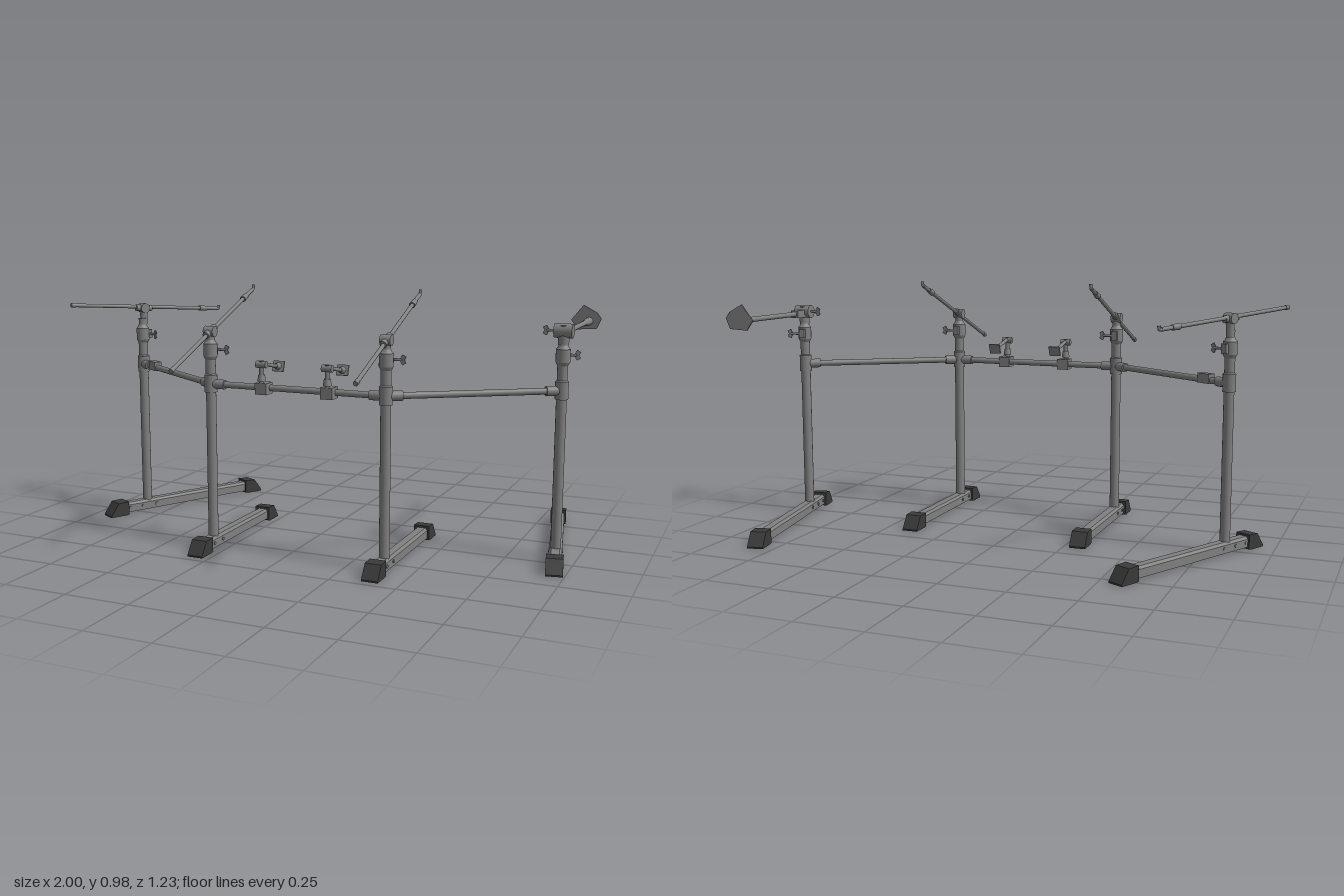
import * as THREE from 'three';

const metal = new THREE.MeshStandardMaterial({ color: 0x808080 });
const rubber = new THREE.MeshStandardMaterial({ color: 0x3a3a3a });
const V = (x, y, z) => new THREE.Vector3(x, y, z);

function add(parent, name, geometry, material = metal) {
  const mesh = new THREE.Mesh(geometry, material);
  mesh.name = name;
  parent.add(mesh);
  return mesh;
}

// Round bar between two points, optionally tapered
function rod(parent, name, a, b, r, r2 = r, sides = 16) {
  const d = b.clone().sub(a);
  const mesh = add(parent, name, new THREE.CylinderGeometry(r2, r, d.length(), sides));
  mesh.position.copy(a).add(b).multiplyScalar(0.5);
  mesh.quaternion.setFromUnitVectors(V(0, 1, 0), d.normalize());
  return mesh;
}

function box(parent, name, w, h, d, p) {
  const mesh = add(parent, name, new THREE.BoxGeometry(w, h, d));
  mesh.position.copy(p);
  return mesh;
}

function extrude(points, depth) {
  const shape = new THREE.Shape(points.map(([x, y]) => new THREE.Vector2(x, y)));
  return new THREE.ExtrudeGeometry(shape, { depth, bevelEnabled: false });
}

// Winged tightening screw pointing along +x or -x
function wingScrew(parent, p, side) {
  rod(parent, 'screw', p, V(p.x + side * 0.035, p.y, p.z), 0.005, 0.005, 8);
  for (const s of [-1, 1]) {
    const wing = box(parent, 'wing', 0.016, 0.016, 0.005, V(p.x + side * 0.04, p.y + s * 0.008, p.z));
    wing.rotation.z = -s * side * 0.5;
  }
}

// Foot, post and collars; the foot runs along local z
function makeLeg({ x, z, turn, front, back }) {
  const leg = new THREE.Group();
  leg.name = 'leg';
  leg.position.set(x, 0, z);
  leg.rotation.y = turn;

  // Foot bar with chamfered top edges
  const bar = extrude([[-0.024, 0.01], [0.024, 0.01], [0.024, 0.041], [0.015, 0.05],
    [-0.015, 0.05], [-0.024, 0.041]], front + back - 0.1);
  add(leg, 'footBar', bar).position.z = 0.05 - back;

  // Sloped rubber ends
  for (const [end, s] of [[front, 1], [-back, -1]]) {
    const g = extrude([[0, 0.003], [0.012, 0], [0.085, 0], [0.085, 0.006], [0.05, 0.056], [0.002, 0.058]], 0.062);
    g.translate(0, 0, -0.031).rotateY(-Math.PI / 2);
    const cap = add(leg, 'rubberEnd', g, rubber);
    cap.position.z = end - s * 0.085;
    if (s < 0) cap.rotation.y = Math.PI;
  }

  // Bolts through the foot
  for (const bz of [-0.03, 0.035, 0.095]) {
    rod(leg, 'footBolt', V(-0.027, 0.028, bz), V(0.027, 0.028, bz), 0.007, 0.007, 8);
  }

  // Post and stepped collars as one turned profile
  const profile = [[0, 0.04], [0.019, 0.04], [0.019, 0.603], [0.024, 0.603], [0.024, 0.668],
    [0.019, 0.672], [0.019, 0.725], [0.022, 0.73], [0.026, 0.738], [0.026, 0.785],
    [0.02, 0.792], [0.016, 0.8], [0.016, 0.826], [0, 0.826]];
  // Doubled corners keep the steps crisp
  const points = profile.flatMap(([r, y]) => [new THREE.Vector2(r, y), new THREE.Vector2(r, y)]);
  add(leg, 'post', new THREE.LatheGeometry(points, 20));
  box(leg, 'collarLug', 0.022, 0.036, 0.024, V(0, 0.76, -0.026));
  wingScrew(leg, V(0.012, 0.76, -0.03), 1);
  return leg;
}

// Slanted rod with tilting joint, clip and hooked end
function makeRodArm(low, high, pivot) {
  const arm = new THREE.Group();
  arm.name = 'rodArm';
  const dir = high.clone().sub(low).normalize();
  const at = (t) => low.clone().lerp(high, t);
  const side = V(dir.z, 0, -dir.x).normalize();
  rod(arm, 'rod', low, high, 0.0075);
  rod(arm, 'rodTip', low, low.clone().addScaledVector(dir, 0.02), 0.009);
  rod(arm, 'rodSleeve', pivot.clone().addScaledVector(dir, -0.035), pivot.clone().addScaledVector(dir, 0.035), 0.013);
  rod(arm, 'tiltJoint', pivot.clone().addScaledVector(side, -0.02), pivot.clone().addScaledVector(side, 0.02), 0.02);
  rod(arm, 'jointStem', V(pivot.x, 0.8, pivot.z), pivot, 0.015);
  const clip = at(0.9);
  rod(arm, 'clip', clip.clone().addScaledVector(dir, -0.02), clip.clone().addScaledVector(dir, 0.015), 0.012, 0.01);
  const hook = new THREE.CatmullRomCurve3([high.clone(), high.clone().addScaledVector(dir, 0.008),
    high.clone().addScaledVector(dir, 0.011).add(V(0, 0.015, 0))]);
  add(arm, 'hook', new THREE.TubeGeometry(hook, 8, 0.006, 8));
  return arm;
}

// Small arm clamped to the middle bar, with a tilted plate behind
function makeSmallArm(x) {
  const g = new THREE.Group();
  g.name = 'smallArm';
  g.position.x = x;
  box(g, 'clampBlock', 0.046, 0.042, 0.052, V(0, 0.633, 0.335));
  rod(g, 'upright', V(0, 0.65, 0.35), V(0, 0.735, 0.35), 0.009);
  rod(g, 'uprightCollar', V(0, 0.66, 0.35), V(0, 0.685, 0.35), 0.016, 0.012);
  rod(g, 'uprightJoint', V(-0.02, 0.722, 0.35), V(0.02, 0.722, 0.35), 0.013);
  rod(g, 'arm', V(0, 0.725, 0.35), V(0, 0.698, 0.215), 0.007);
  rod(g, 'armEnd', V(0, 0.702, 0.235), V(0, 0.698, 0.212), 0.009, 0.014);
  box(g, 'armPlate', 0.046, 0.04, 0.006, V(0, 0.698, 0.21)).rotation.x = -0.35;
  return g;
}

// Straight arm ending in an upright pad
function makePadArm(x, z) {
  const g = new THREE.Group();
  g.name = 'padArm';
  const y = 0.842;
  rod(g, 'jointStem', V(x, 0.8, z), V(x, 0.87, z), 0.02);
  rod(g, 'tiltJoint', V(x - 0.033, 0.85, z), V(x + 0.033, 0.85, z), 0.026);
  box(g, 'armSocket', 0.032, 0.03, 0.06, V(x, y, z - 0.045));
  rod(g, 'arm', V(x, y, z - 0.06), V(x, y, -0.44), 0.01);
  rod(g, 'armFlare', V(x, y, -0.43), V(x, y, -0.47), 0.01, 0.016);
  rod(g, 'armEnd', V(x, y, -0.47), V(x, y, -0.508), 0.016);
  const pad = extrude([[0.858, 0.845], [0.905, 0.905], [0.96, 0.875], [0.976, 0.852], [0.958, 0.812], [0.885, 0.808]], 0.006);
  add(g, 'pad', pad).position.z = -0.513;
  wingScrew(g, V(x - 0.025, 0.85, z), -1);
  return g;
}

export function createModel() {
  const model = new THREE.Group();
  model.name = 'rackStand';
  const deg = Math.PI / 180;
  const legs = [
    { x: -0.834, z: -0.04, turn: -28 * deg, front: 0.19, back: 0.575 },
    { x: -0.305, z: 0.325, turn: 0, front: 0.145, back: 0.495 },
    { x: 0.392, z: 0.325, turn: 0, front: 0.145, back: 0.495 },
    { x: 0.928, z: -0.04, turn: 11 * deg, front: 0.195, back: 0.58 },
  ];
  legs.forEach((l) => model.add(makeLeg(l)));

  // Cross bars with a sleeve at each end
  for (let i = 0; i < 3; i++) {
    const a = V(legs[i].x, 0.634, legs[i].z);
    const b = V(legs[i + 1].x, 0.634, legs[i + 1].z);
    const d = b.clone().sub(a).normalize();
    rod(model, 'crossBar', a, b, 0.012);
    rod(model, 'barSleeve', a, a.clone().addScaledVector(d, 0.06), 0.018);
    rod(model, 'barSleeve', b, b.clone().addScaledVector(d, -0.06), 0.018);
  }

  // Clamp on the outer bar
  const clamp = box(model, 'barClamp', 0.06, 0.036, 0.03, V(-0.735, 0.64, 0.028));
  clamp.rotation.y = -Math.atan2(0.365, 0.529);

  // Upper attachments
  model.add(makeRodArm(V(-0.997, 0.895, 0.227), V(-0.66, 0.847, -0.365), V(-0.834, 0.868, -0.05)));
  for (const x of [-0.305, 0.392]) {
    model.add(makeRodArm(V(x, 0.717, 0.607), V(x, 0.962, -0.018), V(x, 0.83, 0.325)));
  }
  model.add(makePadArm(0.928, -0.04));
  for (const x of [-0.08, 0.18]) model.add(makeSmallArm(x));
  return model;
}
